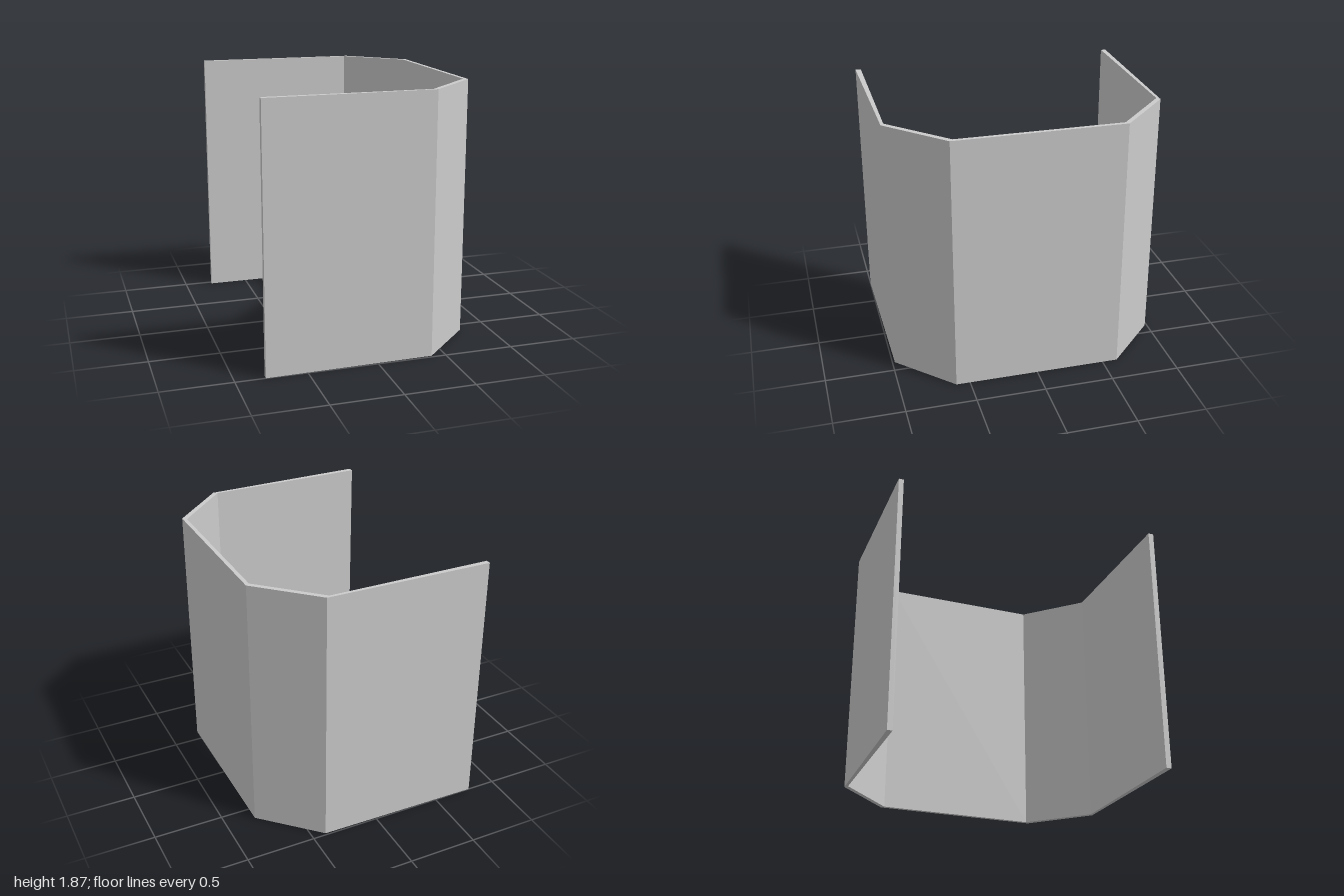
import * as THREE from 'three';

const HEIGHT = 1.87;

// Plan outline of the wall as [x, z]: outer face, then back along the inner face
const OUTER = [[-0.79, -1], [0.4, -0.985], [0.785, -0.61], [0.785, 0.6], [0.4, 0.982], [-0.79, 1]];
const INNER = [[-0.79, 0.96], [0.374, 0.96], [0.757, 0.575], [0.757, -0.592], [0.374, -0.964], [-0.79, -0.964]];

export function createModel() {
  const group = new THREE.Group();
  group.name = 'foldedScreen';

  const plan = new THREE.Shape([...OUTER, ...INNER].map(([x, z]) => new THREE.Vector2(x, z)));
  const geometry = new THREE.ExtrudeGeometry(plan, { depth: HEIGHT, bevelEnabled: false });
  // Stand the extrusion upright so that plan y becomes z
  geometry.rotateX(Math.PI / 2);
  geometry.translate(0, HEIGHT, 0);

  // Five-panel wall, open on the -x side
  const wall = new THREE.Mesh(
    geometry,
    new THREE.MeshStandardMaterial({ color: 0xcccccc, flatShading: true })
  );
  wall.name = 'panelWall';
  group.add(wall);
  return group;
}
